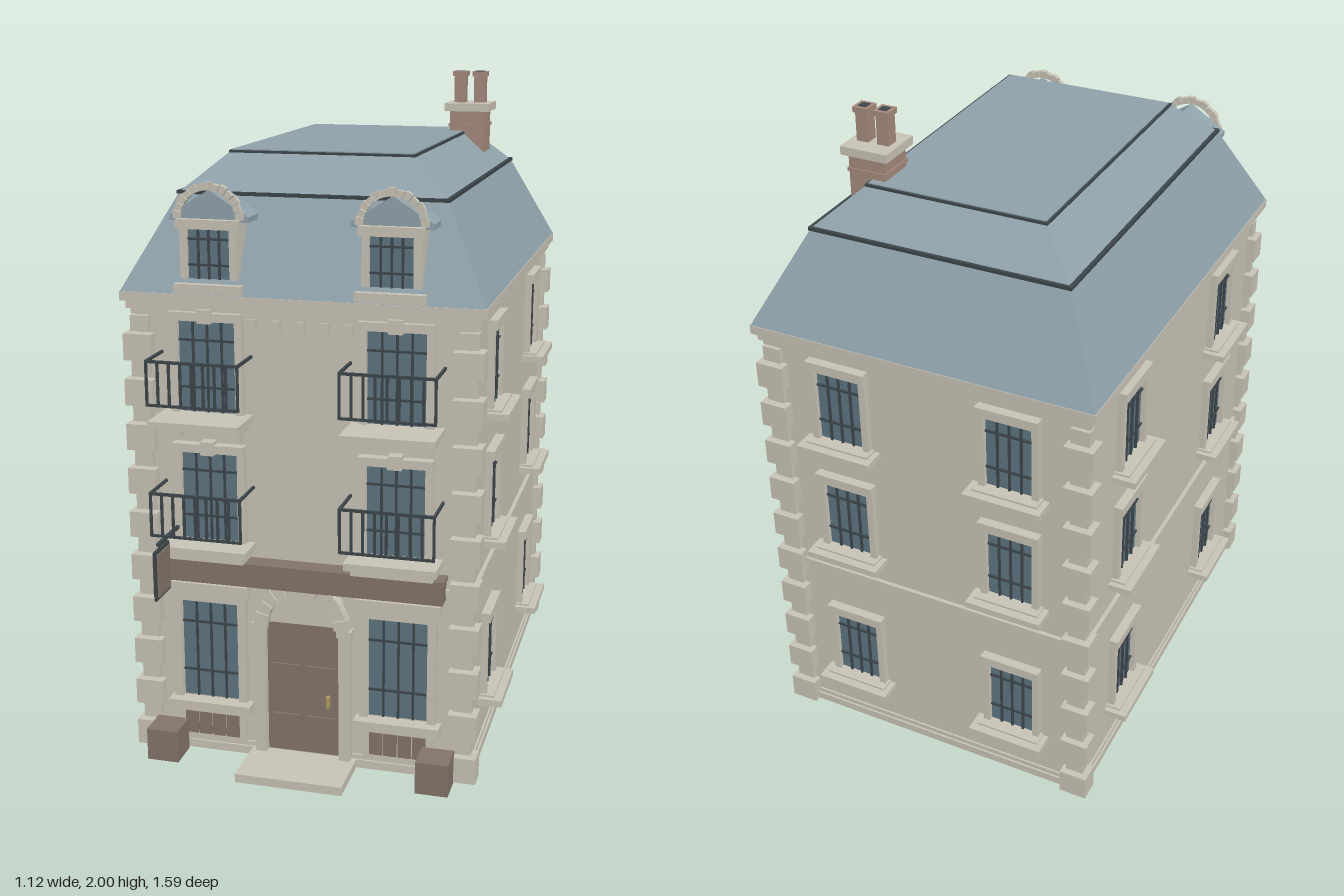
import * as THREE from 'three';

const mat = (color) => new THREE.MeshStandardMaterial({ color, flatShading: true });
const STONE = mat(0xc8c3b6), ROOF = mat(0x8fa1aa), GLASS = mat(0x5d7480), DARK = mat(0x3c464b),
  WOOD = mat(0x84746a), BRICK = mat(0xa58a7c), BRASS = mat(0xb09a60);
const CZ = -0.07, HX = 0.49, HZ = 0.655; // house centre in z and half sizes of the walls
const FRONT = CZ + HZ;

function add(parent, name, geo, material) {
  const m = new THREE.Mesh(geo, material);
  m.name = name;
  parent.add(m);
  return m;
}

// Box given by its extents on each axis
function box(parent, name, x0, x1, y0, y1, z0, z1, material = STONE) {
  const m = add(parent, name, new THREE.BoxGeometry(x1 - x0, y1 - y0, z1 - z0), material);
  m.position.set((x0 + x1) / 2, (y0 + y1) / 2, (z0 + z1) / 2);
  return m;
}

function group(parent, name, x = 0, y = 0, z = 0, ry = 0) {
  const g = new THREE.Group();
  g.name = name;
  g.position.set(x, y, z);
  g.rotation.y = ry;
  parent.add(g);
  return g;
}

// Box whose top is a smaller rectangle
function frustum(parent, name, bx, bz, tx, tz, y0, y1, material) {
  const geo = new THREE.BoxGeometry(2, y1 - y0, 2), p = geo.attributes.position;
  for (let i = 0; i < p.count; i++) {
    const top = p.getY(i) > 0;
    p.setXYZ(i, p.getX(i) * (top ? tx : bx), p.getY(i), p.getZ(i) * (top ? tz : bz));
  }
  geo.computeVertexNormals();
  const m = add(parent, name, geo, material);
  m.position.set(0, (y0 + y1) / 2, CZ);
  return m;
}

// Slab all round the house, standing out from the walls
const course = (parent, name, y0, y1, out) =>
  box(parent, name, -HX - out, HX + out, y0, y1, CZ - HZ - out, FRONT + out);

// Glass with bars and a frame; local origin is bottom centre of the glass, outwards is +z
function glazing(g, w, h, frame, depth) {
  const a = w / 2;
  box(g, 'glass', -a, a, 0, h, -0.01, 0.004, GLASS);
  for (let i = 1; i <= 3; i++) {
    const x = -a + (w * i) / 4;
    box(g, 'windowBar', x - 0.003, x + 0.003, 0, h, 0, 0.011, DARK);
  }
  for (const t of [0.27, 0.77]) box(g, 'windowCrossbar', -a, a, h * t - 0.003, h * t + 0.003, 0, 0.01, DARK);
  for (const s of [-1, 1]) {
    box(g, 'windowJamb', Math.min(s * a, s * (a + frame)), Math.max(s * a, s * (a + frame)), 0, h, -0.01, depth);
  }
}

// Side and back window with lintel and deep sill
function plainWindow(parent, x, y, z, ry) {
  const g = group(parent, 'window', x, y, z, ry);
  glazing(g, 0.143, 0.235, 0.02, 0.02);
  box(g, 'lintel', -0.094, 0.094, 0.233, 0.262, -0.01, 0.028);
  box(g, 'sill', -0.117, 0.117, -0.024, -0.004, -0.01, 0.07);
  box(g, 'sillMoulding', -0.1, 0.1, -0.006, 0.002, -0.01, 0.045);
}

// Half ring of separate wedge stones
function archStones(parent, cx, cy, z, rIn, rOut, depth, n) {
  for (let i = 0; i < n; i++) {
    const a0 = (Math.PI * (i + 0.05)) / n, a1 = (Math.PI * (i + 0.95)) / n;
    const key = i % 2 ? rOut - 0.004 : rOut;
    const s = new THREE.Shape();
    s.absarc(0, 0, key, a0, a1, false);
    s.absarc(0, 0, rIn, a1, a0, true);
    const geo = new THREE.ExtrudeGeometry(s, { depth, bevelEnabled: false, curveSegments: 3 });
    add(parent, 'archStone', geo, STONE).position.set(cx, cy, z);
  }
}

// Balcony slab, moulding and iron railing
function balcony(parent, x, y, slabOut) {
  const g = group(parent, 'balcony', x, y, FRONT);
  const a = 0.133, out = 0.14, r = 0.0035;
  box(g, 'balconySlab', -a, a, -0.022, 0, 0, slabOut);
  box(g, 'balconyMoulding', -0.118, 0.118, -0.045, -0.022, 0, 0.075);
  for (const s of [-1, 1]) {
    box(g, 'balconyBracket', s * 0.09 - 0.014, s * 0.09 + 0.014, -0.075, -0.045, 0, 0.04);
    box(g, 'sideRail', s * a - r, s * a + r, 0.168, 0.176, 0.01, out, DARK);
  }
  box(g, 'frontRail', -a, a, 0.168, 0.176, out - 0.007, out, DARK);
  box(g, 'lowerRail', -a, a, 0.043, 0.05, out - 0.007, out, DARK);
  for (let i = 0; i <= 8; i++) {
    const bx = -a + (2 * a * i) / 8;
    box(g, 'baluster', bx - r, bx + r, 0.043, 0.17, out - 0.007, out, DARK);
  }
}

function dormer(parent, x) {
  const g = group(parent, 'dormer', x, 0, 0);
  box(g, 'dormerBody', -0.085, 0.085, 1.44, 1.65, 0.4, 0.595);
  glazing(group(g, 'dormerWindow', 0, 1.475, 0.595), 0.122, 0.145, 0.022, 0.014);
  box(g, 'dormerSill', -0.1, 0.1, 1.435, 1.462, 0.5, 0.625);
  box(g, 'dormerLintel', -0.092, 0.092, 1.615, 1.642, 0.55, 0.618);
  const gable = new THREE.Shape([[-0.115, 1.635], [0.115, 1.635], [0.115, 1.65], [0, 1.722], [-0.115, 1.65]]
    .map(([u, v]) => new THREE.Vector2(u, v)));
  add(g, 'dormerRoof', new THREE.ExtrudeGeometry(gable, { depth: 0.2, bevelEnabled: false }), ROOF).position.z = 0.397;
  archStones(g, 0, 1.642, 0.59, 0.08, 0.103, 0.016, 13);
}

export function createModel() {
  const house = new THREE.Group();
  house.name = 'townHouse';

  // Walls and courses
  box(house, 'walls', -HX, HX, 0.025, 1.4, CZ - HZ, FRONT);
  course(house, 'plinth', 0.027, 0.052, 0.012);
  course(house, 'plinthCap', 0.052, 0.066, 0.006);
  course(house, 'stringCourse', 0.597, 0.615, 0.012);
  course(house, 'corniceLower', 1.365, 1.382, 0.012);
  course(house, 'corniceMiddle', 1.382, 1.405, 0.022);
  course(house, 'corniceUpper', 1.405, 1.432, 0.035);

  // Quoins: long and short blocks in turn on all four corners
  const quoins = group(house, 'quoins');
  for (const sx of [-1, 1]) for (const sz of [-1, 1]) {
    for (let i = 0; i < 10; i++) {
      const y = 0.03 + i * 0.1335;
      for (const [y0, y1, inner, outer, zi, zo] of
        [[y, y + 0.078, 0.435, 0.52, 0.625, 0.688], [y + 0.083, y + 0.129, 0.448, 0.503, 0.638, 0.672]]) {
        const xs = [sx * inner, sx * outer].sort((a, b) => a - b);
        const zs = [CZ + sz * zi, CZ + sz * zo].sort((a, b) => a - b);
        box(quoins, 'quoin', xs[0], xs[1], y0, y1, zs[0], zs[1]);
      }
    }
  }

  // Side and back windows
  for (const y of [0.204, 0.706, 1.092]) for (const s of [-1, 1]) {
    for (const side of [-1, 1]) plainWindow(house, side * HX, y, CZ + s * 0.363, (side * Math.PI) / 2);
    plainWindow(house, s * 0.265, y, CZ - HZ, Math.PI);
  }

  // Front windows, balconies and dormers
  for (const s of [-1, 1]) {
    const shop = group(house, 'groundFloorWindow', s * 0.285, 0.2, FRONT);
    glazing(shop, 0.176, 0.31, 0.025, 0.025);
    box(shop, 'lintel', -0.113, 0.113, 0.31, 0.335, 0, 0.025);
    box(shop, 'hood', -0.125, 0.125, 0.335, 0.37, 0, 0.035);
    box(shop, 'sill', -0.127, 0.127, -0.035, -0.005, 0, 0.045);
    box(shop, 'panelSurround', -0.105, 0.105, -0.135, -0.035, 0, 0.012);
    for (let i = 0; i < 4; i++) box(shop, 'cellarPanel', -0.084 + i * 0.043, -0.045 + i * 0.043, -0.12, -0.05, 0, 0.02, WOOD);
    for (const y of [0.7, 1.085]) {
      const w = group(house, 'balconyWindow', s * 0.275, y, FRONT);
      glazing(w, 0.17, 0.275, 0.022, 0.022);
      box(w, 'lintel', -0.107, 0.107, 0.27, 0.295, 0, 0.03);
      box(w, 'keystone', -0.02, 0.02, 0.265, 0.305, 0, 0.036);
    }
    balcony(house, s * 0.277, 0.702, 0.1);
    balcony(house, s * 0.277, 1.087, 0.142);
    dormer(house, s * 0.26);

    // Planter and step foot
    const px = s * 0.408;
    box(house, 'planter', px - 0.048, px + 0.048, 0.027, 0.125, 0.607, 0.702, WOOD);
    box(house, 'stepFoot', s * 0.127 - 0.014, s * 0.127 + 0.014, 0.005, 0.03, 0.58, 0.635);
  }
  for (let i = -2; i <= 2; i++) box(house, 'dentil', i * 0.07 - 0.012, i * 0.07 + 0.012, 1.333, 1.366, FRONT, FRONT + 0.02);
  box(house, 'fascia', -0.42, 0.42, 0.582, 0.645, FRONT, 0.638, WOOD);
  box(house, 'fasciaCap', -0.425, 0.425, 0.645, 0.656, FRONT, 0.646, WOOD);

  // Doorway
  const door = group(house, 'doorway', 0, 0, FRONT);
  box(door, 'door', -0.11, 0.11, 0.055, 0.465, 0, 0.008, WOOD);
  for (const s of [-1, 1]) {
    for (const [y0, y1] of [[0.065, 0.175], [0.212, 0.335]]) {
      box(door, 'doorPanel', s * 0.053 - 0.042, s * 0.053 + 0.042, y0, y1, 0, 0.015, WOOD);
    }
    box(door, 'doorPilaster', s * 0.128 - 0.017, s * 0.128 + 0.017, 0.05, 0.455, 0, 0.03);
    box(door, 'pilasterCapital', s * 0.128 - 0.022, s * 0.128 + 0.022, 0.445, 0.465, 0, 0.036);
  }
  const fan = new THREE.Shape();
  fan.absarc(0, 0, 0.112, 0, Math.PI, false);
  add(door, 'archInfill', new THREE.ExtrudeGeometry(fan, { depth: 0.01, bevelEnabled: false }), STONE).position.y = 0.464;
  archStones(door, 0, 0.464, 0, 0.1, 0.143, 0.038, 11);
  box(door, 'doorHandle', 0.073, 0.083, 0.215, 0.25, 0.01, 0.03, BRASS);
  box(house, 'doorStep', -0.16, 0.16, 0.026, 0.052, 0.57, 0.768);

  // Hanging sign
  box(house, 'signBracket', -0.38, -0.37, 0.733, 0.742, FRONT, 0.765, DARK);
  box(house, 'signFrame', -0.379, -0.371, 0.578, 0.725, 0.688, 0.795, DARK);
  box(house, 'signBoard', -0.384, -0.366, 0.588, 0.715, 0.697, 0.786, WOOD);
  for (const z of [0.71, 0.758]) box(house, 'signHanger', -0.377, -0.373, 0.72, 0.738, z - 0.002, z + 0.002, DARK);

  // Mansard roof with edge trims
  frustum(house, 'roofLower', 0.525, 0.69, 0.388, 0.55, 1.428, 1.7, ROOF);
  box(house, 'roofBreakTrim', -0.394, 0.394, 1.694, 1.704, CZ - 0.556, CZ + 0.556, DARK);
  frustum(house, 'roofUpper', 0.388, 0.55, 0.27, 0.44, 1.7, 1.806, ROOF);
  box(house, 'roofTopTrim', -0.274, 0.274, 1.802, 1.809, CZ - 0.444, CZ + 0.444, DARK);
  box(house, 'roofTop', -0.267, 0.267, 1.8, 1.812, CZ - 0.437, CZ + 0.437, ROOF);

  // Chimney
  const chimney = group(house, 'chimney', 0.282, 0, -0.427);
  box(chimney, 'chimneyStack', -0.056, 0.056, 1.735, 1.875, -0.058, 0.058, BRICK);
  box(chimney, 'chimneyBand', -0.06, 0.06, 1.825, 1.835, -0.062, 0.062, BRICK);
  box(chimney, 'chimneyCap', -0.072, 0.072, 1.875, 1.9, -0.073, 0.073);
  for (const s of [-1, 1]) {
    const x = s * 0.032;
    box(chimney, 'chimneyPot', x - 0.018, x + 0.018, 1.9, 1.985, -0.02, 0.02, BRICK);
    box(chimney, 'potRim', x - 0.023, x + 0.023, 1.983, 1.999, -0.025, 0.025, BRICK);
    box(chimney, 'potOpening', x - 0.013, x + 0.013, 1.99, 2, -0.014, 0.014, DARK);
  }
  return house;
}
